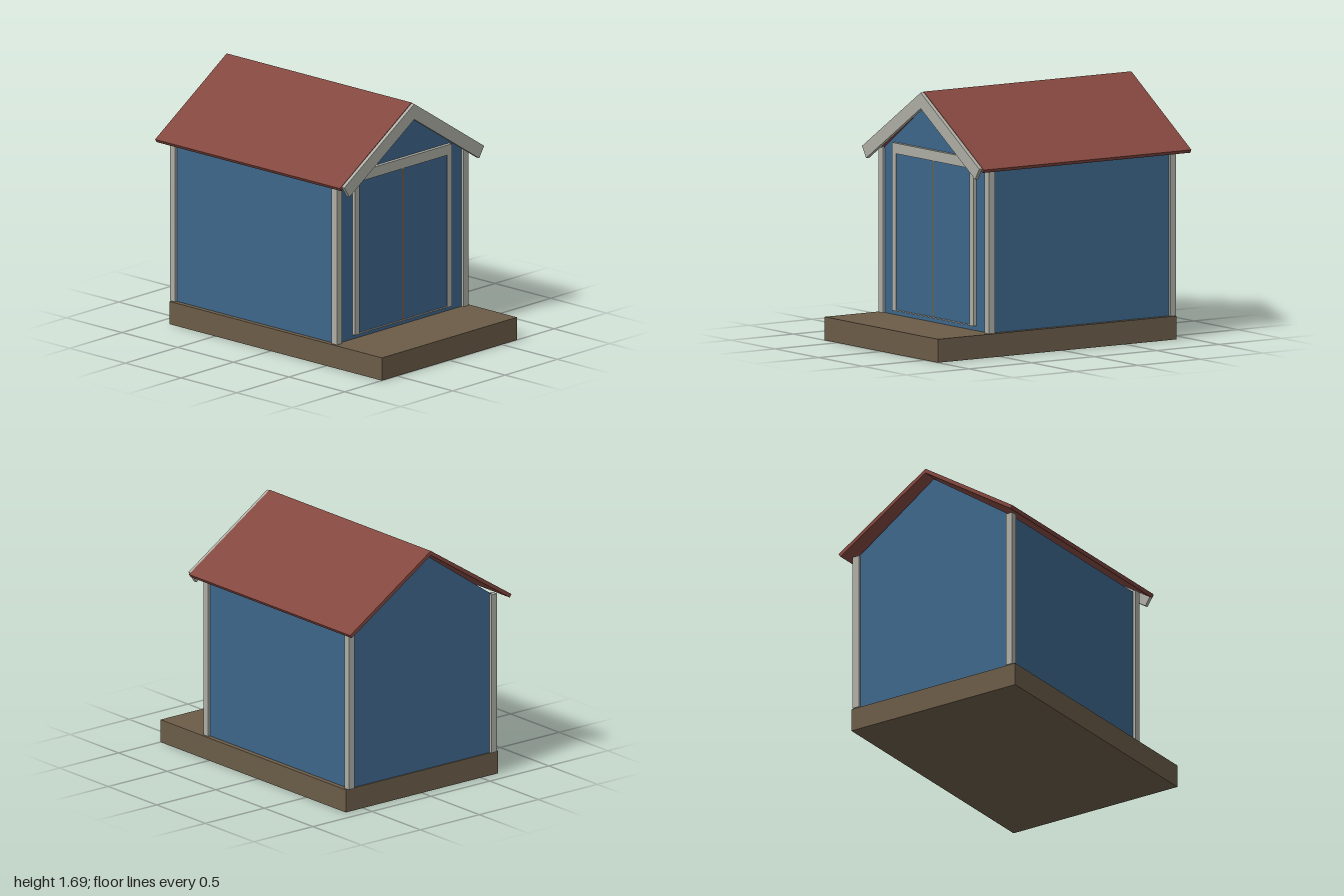
import * as THREE from 'three';

const paint = (name, color) => {
  const m = new THREE.MeshStandardMaterial({ color });
  m.name = name;
  return m;
};

export function createModel() {
  const blue = paint('blue wall', 0x3d668b);
  const grey = paint('grey trim', 0xaeaea6);
  const brown = paint('brown base', 0x6b5c48);
  const red = paint('red roof', 0x83473f);
  const wood = paint('door strip', 0x7a5c3c);
  const shed = new THREE.Group();
  shed.name = 'shed';

  // Box given by its min and max on each axis
  const box = (name, mat, x0, x1, y0, y1, z0, z1) => {
    const m = new THREE.Mesh(new THREE.BoxGeometry(x1 - x0, y1 - y0, z1 - z0), mat);
    m.position.set((x0 + x1) / 2, (y0 + y1) / 2, (z0 + z1) / 2);
    m.name = name;
    shed.add(m);
  };

  // Mirrored outline in the z-y plane, extruded along x
  const gable = (name, mat, pts, x0, x1, holes = []) => {
    const shape = new THREE.Shape(pts.map(([z, y]) => new THREE.Vector2(z, y)));
    for (const h of holes) shape.holes.push(new THREE.Path(h.map(([z, y]) => new THREE.Vector2(z, y))));
    const geo = new THREE.ExtrudeGeometry(shape, { depth: x1 - x0, bevelEnabled: false });
    geo.rotateY(Math.PI / 2).translate(x0, 0, 0);
    const m = new THREE.Mesh(geo, mat);
    m.name = name;
    shed.add(m);
  };

  // Chevron: outer apex and eave, inner apex and eave
  const chevron = (topY, [oz, oy], botY, [iz, iy]) =>
    [[-iz, iy], [0, botY], [iz, iy], [oz, oy], [0, topY], [-oz, oy]];
  const rect = (w, y0, y1) => [[-w, y0], [w, y0], [w, y1], [-w, y1]];

  box('base', brown, -0.908, 1, 0, 0.155, -0.645, 0.645);

  // Walls with pointed ends, slightly below the roof
  gable('walls', blue,
    [[-0.61, 0.155], [0.61, 0.155], [0.61, 1.235], [0, 1.655], [-0.61, 1.235]], -0.9, 0.562);

  // Corner posts
  for (const s of [-1, 1]) {
    const [z0, z1] = s > 0 ? [0.58, 0.628] : [-0.628, -0.58];
    box('backPost', grey, -0.918, -0.874, 0.155, 1.245, z0, z1);
    box('frontPost', grey, 0.532, 0.58, 0.155, 1.245, z0, z1);
  }

  // Roof and its front barge board
  gable('roof', red, chevron(1.69, [0.684, 1.25], 1.66, [0.67, 1.229]), -1, 0.66);
  gable('bargeBoard', grey, chevron(1.685, [0.668, 1.256], 1.58, [0.62, 1.182]), 0.66, 0.685);

  // Double door on the gable end
  gable('doorFrame', grey, rect(0.462, 0.186, 1.295), 0.556, 0.588, [rect(0.421, 0.194, 1.226)]);
  for (const s of [-1, 1]) {
    const [z0, z1] = s > 0 ? [0.006, 0.421] : [-0.421, -0.006];
    box('doorLeaf', blue, 0.556, 0.581, 0.194, 1.226, z0, z1);
  }
  box('doorStrip', wood, 0.556, 0.583, 0.194, 1.226, -0.007, 0.007);

  return shed;
}
